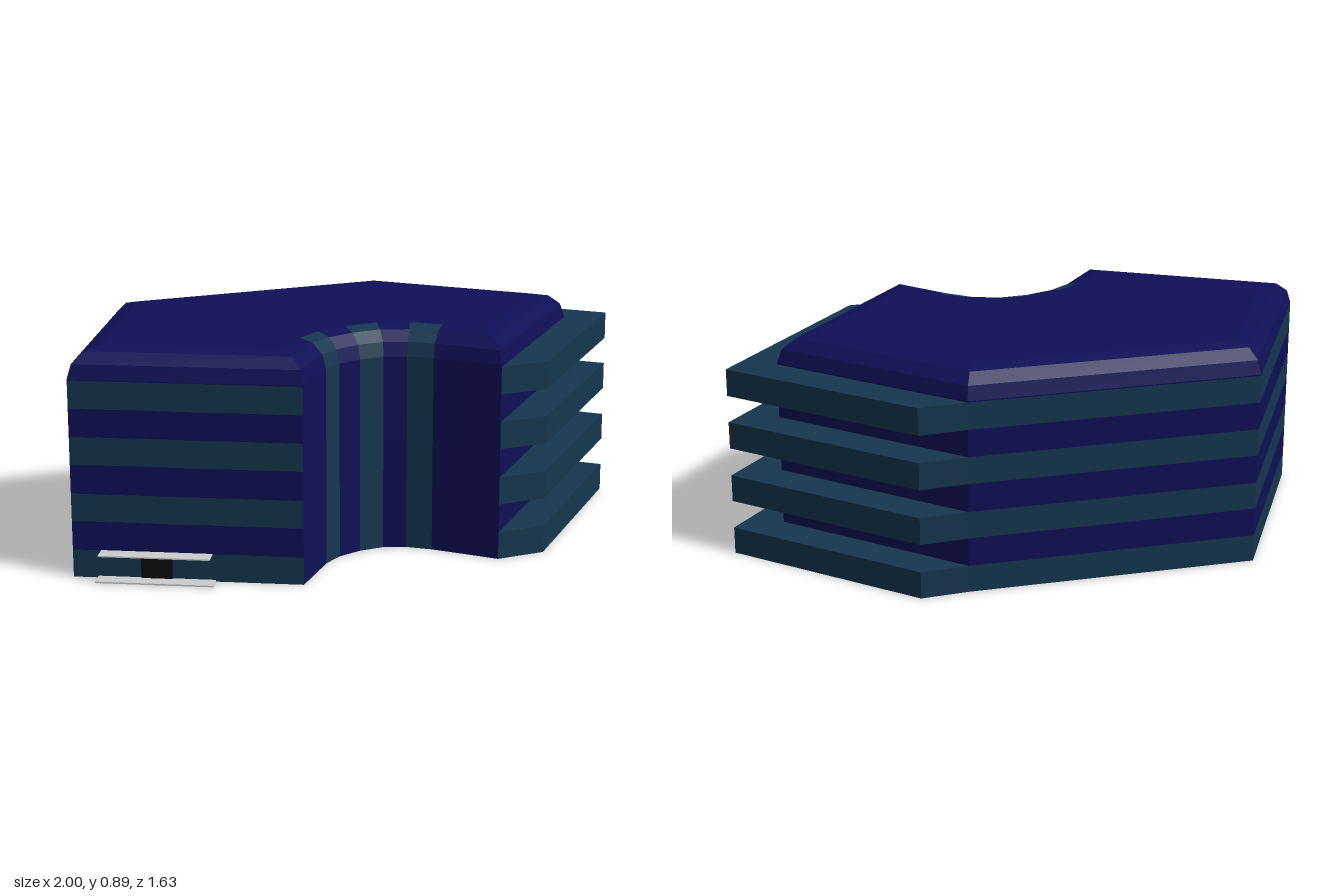
import * as THREE from 'three';

const blue = new THREE.MeshStandardMaterial({ color: 0x0f0f57, flatShading: true });
const teal = new THREE.MeshStandardMaterial({ color: 0x15364f, flatShading: true });
const grey = new THREE.MeshStandardMaterial({ color: 0xcccccc });
const black = new THREE.MeshStandardMaterial({ color: 0x0c0c0c });

// Floor plan as [x, z], clockwise from above, with the wall type that starts at each corner
const plan = [
  [-1, -0.14, 'banded'], [0, -0.71, 'plain'], [0.83, -0.52, 'plain'], [0.63, 0.33, 'plain'],
  [0.36, 0.255, 'stripe'], [0.255, 0.24, 'plain'], [0.165, 0.255, 'stripe'], [0.08, 0.31, 'plain'],
  [0.01, 0.385, 'stripe'], [-0.03, 0.47, 'plain'], [-0.08, 0.72, 'banded'], [-0.97, 0.75, 'banded'],
];
const bandBottoms = [0, 0.225, 0.45, 0.67];
const bandHeight = 0.11;
const round = 0.11, wallTop = 0.785;

// Plan moved inwards by d with mitred corners
function insetPlan(d) {
  const n = plan.length;
  const normal = (i) => {
    const p = plan[i % n], q = plan[(i + 1) % n];
    return new THREE.Vector2(q[1] - p[1], p[0] - q[0]).normalize();
  };
  return plan.map(([x, z], i) => {
    const a = normal(i + n - 1), b = normal(i);
    const k = d / (1 + a.dot(b));
    return [x - (a.x + b.x) * k, z - (a.y + b.y) * k];
  });
}

function shapeOf(points, sign) {
  return new THREE.Shape(points.map(([x, z]) => new THREE.Vector2(x, sign * z)));
}

function add(group, name, geometry, material) {
  const mesh = new THREE.Mesh(geometry, material);
  mesh.name = name;
  group.add(mesh);
  return mesh;
}

function trianglesToGeometry(positions) {
  const g = new THREE.BufferGeometry();
  g.setAttribute('position', new THREE.Float32BufferAttribute(positions, 3));
  g.computeVertexNormals();
  return g;
}

// Walls as stacked rings, sorted into plain and striped panels
function buildWalls(group) {
  const levels = [];
  for (const y of bandBottoms) {
    levels.push({ y, d: 0, band: true }, { y: y + bandHeight, d: 0, band: false });
  }
  for (let i = 0; i <= 3; i++) {
    const a = (i / 3) * Math.PI / 2;
    levels.push({ y: wallTop + round * Math.sin(a), d: round * (1 - Math.cos(a)), band: false });
  }
  const rings = levels.map((l) => insetPlan(l.d).map(([x, z]) => [x, l.y, z]));
  const plain = [], striped = [];
  for (let j = 0; j < rings.length - 1; j++) {
    plan.forEach(([, , type], i) => {
      const k = (i + 1) % plan.length;
      const p = rings[j][i], q = rings[j][k], pt = rings[j + 1][i], qt = rings[j + 1][k];
      const isStripe = type === 'stripe' || (type === 'banded' && levels[j].band);
      (isStripe ? striped : plain).push(...q, ...p, ...pt, ...q, ...pt, ...qt);
    });
  }
  add(group, 'walls', trianglesToGeometry(plain), blue);
  add(group, 'wallStripes', trianglesToGeometry(striped), teal);
}

export function createModel() {
  const model = new THREE.Group();
  model.name = 'building';
  buildWalls(model);

  // Roof and floor
  const roof = new THREE.ShapeGeometry(shapeOf(insetPlan(round), -1));
  add(model, 'roof', roof.rotateX(-Math.PI / 2), blue).position.y = wallTop + round;
  const floor = new THREE.ShapeGeometry(shapeOf(plan, 1));
  add(model, 'floor', floor.rotateX(Math.PI / 2), blue);

  // Ledges wrapping the back and side walls
  const ledge = new THREE.ExtrudeGeometry(
    shapeOf([[0, -0.71], [0.16, -0.815], [1, -0.625], [0.8, 0.225], [0.63, 0.33], [0.83, -0.52]], -1),
    { depth: bandHeight, bevelEnabled: false }).rotateX(-Math.PI / 2);
  for (const y of bandBottoms) add(model, 'ledge', ledge, teal).position.y = y;

  // Entrance, turned to lie along the front wall
  const entrance = new THREE.Group();
  entrance.name = 'entrance';
  entrance.position.set(-0.645, 0, 0.739);
  entrance.rotation.y = 0.034;
  model.add(entrance);
  const slab = (name, w, h, d, y, material) =>
    add(entrance, name, new THREE.BoxGeometry(w, h, d), material).position.set(0, y, d / 2);
  slab('doorstep', 0.455, 0.006, 0.066, 0.004, grey);
  slab('canopy', 0.43, 0.005, 0.066, 0.109, grey);
  slab('door', 0.12, 0.1, 0.008, 0.057, black);
  return model;
}
